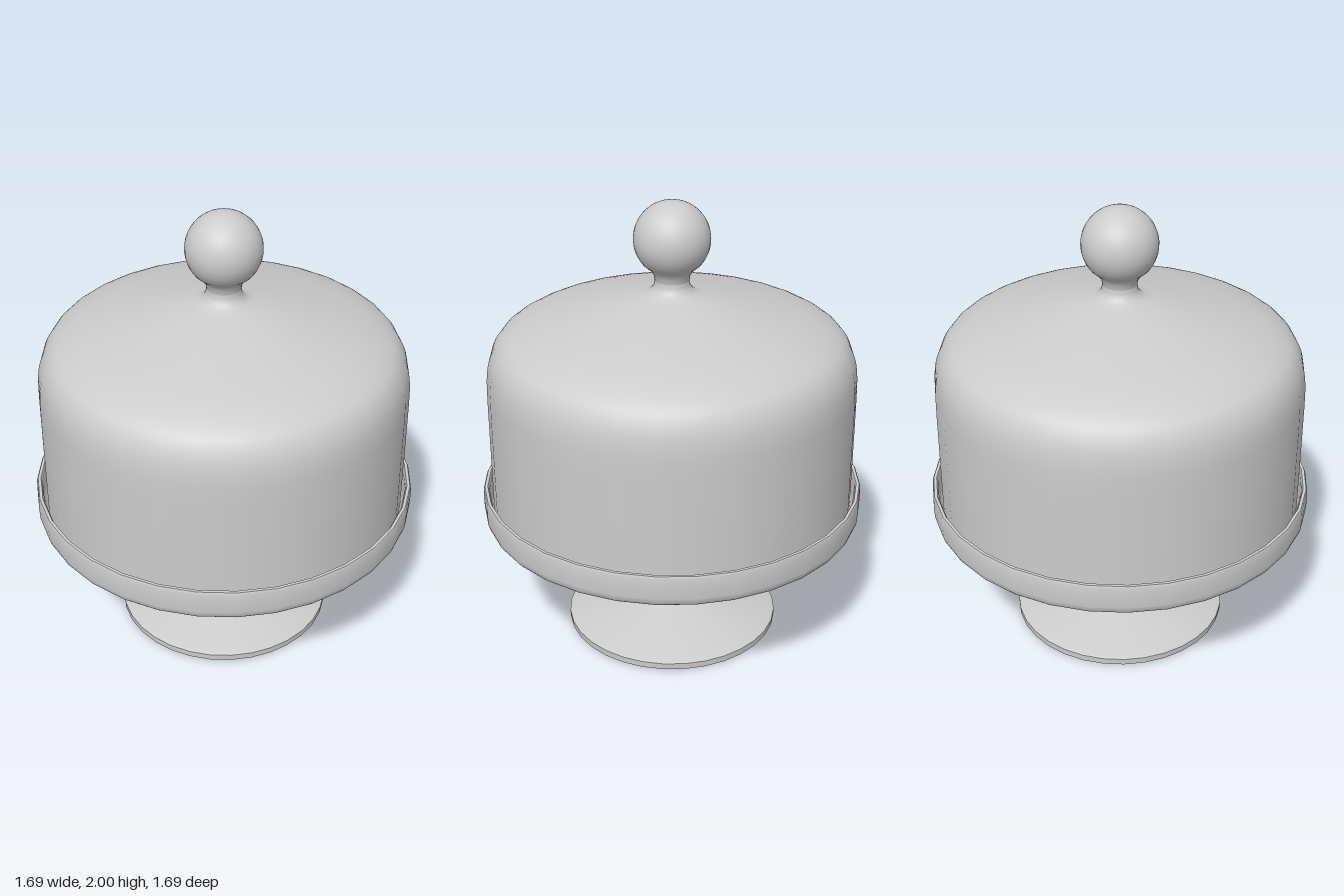
import * as THREE from 'three';

const SIDES = 32;

// Points of a smooth curve through [radius, height] pairs
function curve(pairs, steps) {
  const c = new THREE.CatmullRomCurve3(pairs.map(([r, y]) => new THREE.Vector3(r, y, 0)), false, 'centripetal');
  return c.getPoints(steps).map((p) => [Math.max(p.x, 0), p.y]);
}

// Turned part; a repeated profile point makes a sharp edge
function turned(name, pairs, material) {
  const geometry = new THREE.LatheGeometry(pairs.map(([r, y]) => new THREE.Vector2(r, y)), SIDES);
  geometry.normalizeNormals();
  const mesh = new THREE.Mesh(geometry, material);
  mesh.name = name;
  return mesh;
}

export function createModel() {
  const group = new THREE.Group();
  group.name = 'cakeStand';
  const grey = new THREE.MeshStandardMaterial({ color: 0xcccccc, side: THREE.DoubleSide });
  grey.name = 'paleGrey';

  // Conical foot with a slightly hollow underside
  group.add(turned('foot', [
    [0, 0.035], [0.3, 0.03], [0.43, 0.018], [0.46, 0], [0.46, 0], [0.478, 0.003], [0.478, 0.003],
    [0.479, 0.032], [0.479, 0.032], [0.47, 0.038], [0.3, 0.087], [0.13, 0.13], [0.09, 0.142], [0.076, 0.155], [0.074, 0.17],
  ], grey));

  // Rounded bulb between two thin necks
  group.add(turned('stemBulb', curve([
    [0.074, 0.165], [0.13, 0.172], [0.172, 0.2], [0.191, 0.25], [0.193, 0.31],
    [0.18, 0.36], [0.14, 0.4], [0.085, 0.425], [0.073, 0.44],
  ], 28), grey));

  // Shallow plate with an upright rim and a sunken floor
  group.add(turned('plate', [
    ...curve([
      [0.073, 0.435], [0.085, 0.455], [0.14, 0.475], [0.3, 0.488], [0.58, 0.512], [0.72, 0.533],
      [0.8, 0.56], [0.832, 0.58], [0.843, 0.61],
    ], 28),
    [0.845, 0.66], [0.843, 0.705], [0.838, 0.715], [0.838, 0.715], [0.825, 0.715], [0.825, 0.715],
    [0.818, 0.7], [0.815, 0.63], [0.8, 0.615], [0.8, 0.615], [0, 0.6],
  ], grey));

  // Bell-shaped cover, flaring up into the neck of the knob
  group.add(turned('domeCover', [
    [0.785, 0.612], [0.802, 0.612], [0.802, 0.612], [0.802, 0.9],
    ...curve([
      [0.802, 1.13], [0.798, 1.25], [0.782, 1.33], [0.745, 1.395], [0.68, 1.44], [0.58, 1.48],
      [0.4, 1.53], [0.2, 1.58], [0.105, 1.605], [0.08, 1.63], [0.073, 1.66],
    ], 40),
  ], grey));

  // Ball knob, tapering into its neck
  const ball = [];
  for (let i = 0; i <= 18; i++) {
    const a = -0.72 + (i / 18) * (Math.PI / 2 + 0.72);
    ball.push([Math.max(0.163 * Math.cos(a), 0), 1.837 + 0.163 * Math.sin(a)]);
  }
  group.add(turned('knob', [[0.073, 1.655], [0.077, 1.68], [0.093, 1.705], ...ball], grey));

  return group;
}
